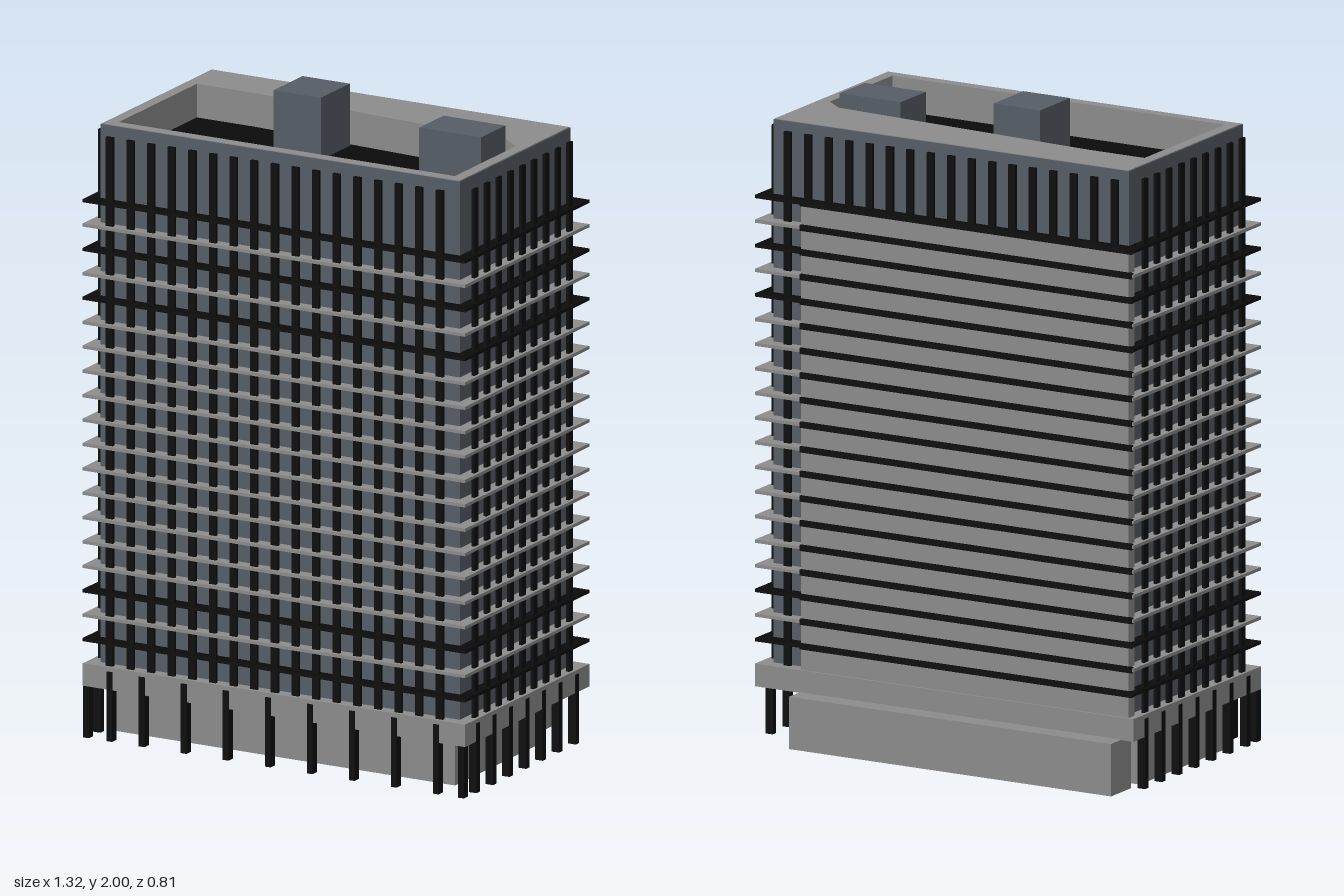
import * as THREE from 'three';

export function createModel() {
  const tower = new THREE.Group();
  tower.name = 'officeTower';
  const material = (name, color) => {
    const m = new THREE.MeshStandardMaterial({ color });
    m.name = name;
    return m;
  };
  const concrete = material('concrete grey', 0x8c8c8c);
  const slate = material('slate cladding', 0x565d66);
  const black = material('black metal', 0x0b0b0b);

  const part = (name, parent = tower) => {
    const g = new THREE.Group();
    g.name = name;
    parent.add(g);
    return g;
  };
  const add = (geometry, mat, name, parent = tower) => {
    const mesh = new THREE.Mesh(geometry, mat);
    mesh.name = name;
    parent.add(mesh);
    return mesh;
  };
  // Box given by its limits on each axis
  const box = (name, mat, [x0, x1], [y0, y1], [z0, z1], parent) => {
    const g = new THREE.BoxGeometry(x1 - x0, y1 - y0, z1 - z0);
    g.translate((x0 + x1) / 2, (y0 + y1) / 2, (z0 + z1) / 2);
    return add(g, mat, name, parent);
  };
  // Upright wall between two plan outlines of [x, z] points
  const ring = (name, mat, outer, inner, y0, y1) => {
    const points = (list) => list.map(([x, z]) => new THREE.Vector2(x, -z));
    const shape = new THREE.Shape(points(outer));
    shape.holes.push(new THREE.Path(points(inner)));
    const g = new THREE.ExtrudeGeometry(shape, { depth: y1 - y0, bevelEnabled: false });
    g.rotateX(-Math.PI / 2).translate(0, y0, 0);
    return add(g, mat, name);
  };
  const rect = (x0, x1, z0, z1) => [[x0, z1], [x1, z1], [x1, z0], [x0, z0]];

  // Ground floor: hollow lobby, rear annex and overhanging podium
  ring('lobbyWalls', concrete, rect(-0.62, 0.565, -0.24, 0.298), rect(-0.61, 0.555, -0.23, 0.288), 0, 0.16);
  box('lobbyCeiling', slate, [-0.61, 0.555], [0.152, 0.16], [-0.23, 0.288]);
  box('rearAnnex', concrete, [-0.62, 0.503], [0, 0.162], [-0.408, -0.29]);
  box('podium', concrete, [-0.66, 0.66], [0.16, 0.23], [-0.345, 0.403]);

  // Ground columns along the front and both sides
  const columns = part('groundColumns');
  const frontX = [-0.647, -0.567, 0.647];
  for (let i = 0; i < 8; i++) frontX.push(-0.455 + i * 0.145);
  for (const x of frontX) {
    const top = Math.abs(x) > 0.6 ? 0.16 : 0.217;
    box('frontColumn', black, [x - 0.01, x + 0.01], [0, top], [0.38, 0.406], columns);
  }
  for (const s of [-1, 1]) {
    for (let i = 0; i < 7; i++) {
      const z = 0.328 - i * 0.0997;
      const xs = [s * 0.636, s * 0.662].sort((a, b) => a - b);
      box('sideColumn', black, xs, [0, 0.217], [z - 0.01, z + 0.01], columns);
    }
  }

  // Main shaft
  box('shaft', slate, [-0.62, 0.62], [0.23, 1.8], [-0.303, 0.365]);

  // Thin vertical fins standing off every facade
  const fins = part('facadeFins');
  const finY = [0.23, 1.88];
  for (let i = 0; i < 17; i++) {
    const x = (i - 8) * 0.0712 - 0.006;
    box('frontFin', black, [x - 0.012, x + 0.012], finY, [0.381, 0.391], fins);
    box('backFin', black, [x - 0.012, x + 0.012], finY, [-0.318, -0.308], fins);
  }
  for (let i = 0; i < 9; i++) {
    const z = 0.317 - i * 0.0712;
    box('leftFin', black, [0.64, 0.65], finY, [z - 0.012, z + 0.012], fins);
    box('rightFin', black, [-0.65, -0.64], finY, [z - 0.012, z + 0.012], fins);
  }

  // Floor slabs, with black ones near the top and bottom
  const slabs = part('floorSlabs');
  const darkFloors = [0, 2, 14, 16, 18];
  const floorY = (i) => 0.304 + i * 0.0761;
  for (let i = 0; i < 19; i++) {
    const y = floorY(i);
    box('floorSlab', darkFloors.includes(i) ? black : concrete,
      [-0.66, 0.66], [y - 0.005, y + 0.005], [-0.345, 0.403], slabs);
  }

  // Blank rear wall with a black joint at every floor
  const rear = part('rearWall');
  box('rearPanel', concrete, [-0.64, 0.503], [0.23, floorY(18)], [-0.338, -0.303], rear);
  for (let i = 0; i < 19; i++) {
    const y = floorY(i);
    box('rearJoint', black, [-0.655, 0.503], [y - 0.009, y + 0.009], [-0.347, -0.335], rear);
  }

  // Parapet around the sunken roof, wider at the back
  const opening = [[-0.58, 0.325], [0.58, 0.325], [0.58, -0.04], [0.52, -0.09], [-0.05, -0.125], [-0.38, -0.145], [-0.58, -0.145]];
  ring('parapetCladding', slate, rect(-0.62, 0.62, -0.303, 0.365), rect(-0.617, 0.617, -0.3, 0.362), 1.8, 1.909);
  ring('parapet', concrete, rect(-0.617, 0.617, -0.3, 0.362), opening, 1.8, 1.911);
  box('roofDeck', black, [-0.6, 0.6], [1.798, 1.806], [-0.2, 0.34]);

  // Rooftop plant rooms
  box('tallPlantRoom', slate, [-0.195, -0.032], [1.8, 2], [-0.11, 0.065]);
  box('lowPlantRoom', slate, [0.305, 0.518], [1.8, 1.955], [-0.087, 0.06]);

  return tower;
}
